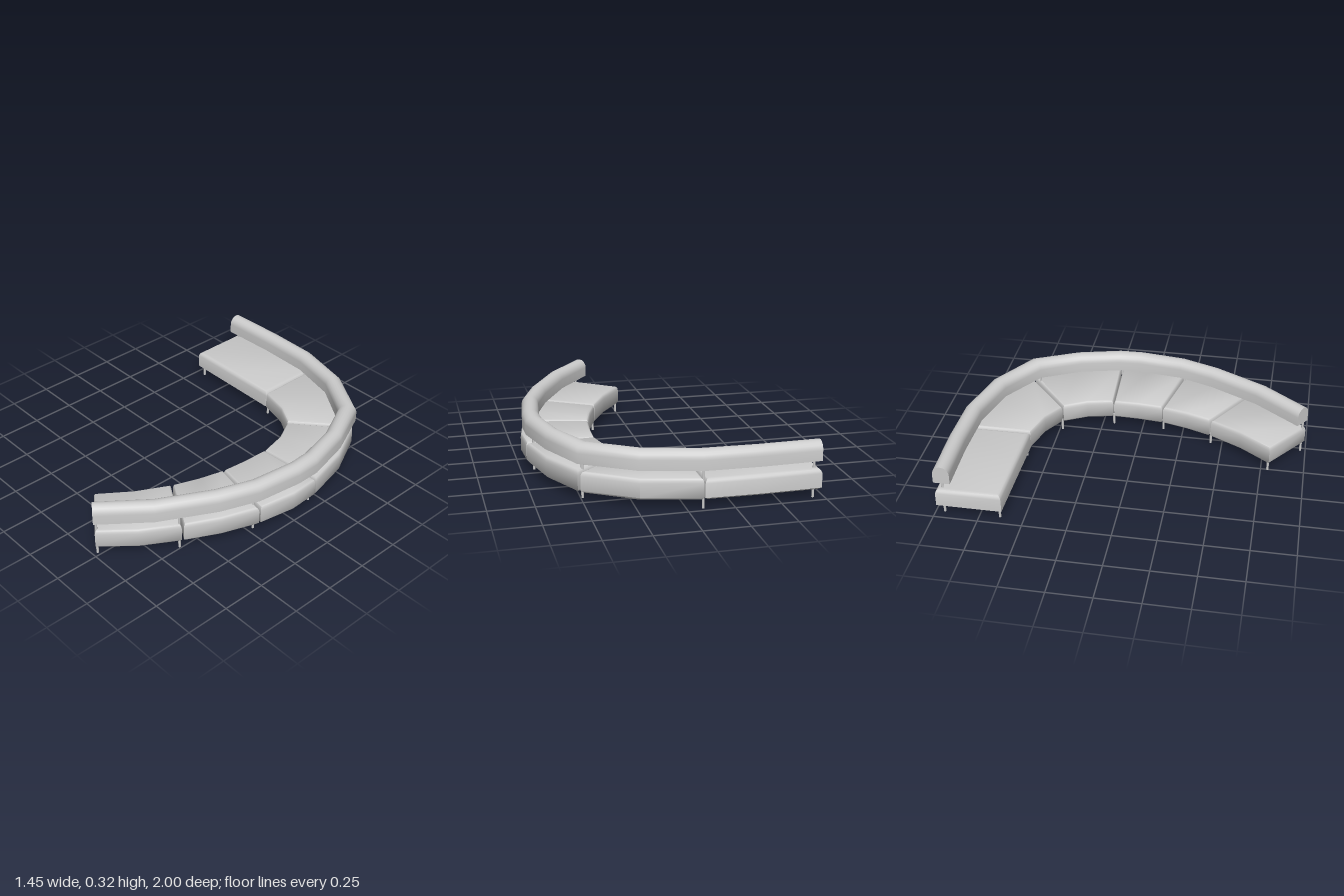
import * as THREE from 'three';
import { toCreasedNormals } from 'three/addons/utils/BufferGeometryUtils.js';

// Skin equal closed rings; caps join the two mirrored halves of a ring.
function loft(rings, capStart, capEnd) {
  const n = rings[0].length, index = [];
  const quad = (a, b, c, d) => index.push(a, b, c, a, c, d);
  for (let i = 0; i < rings.length - 1; i++) {
    for (let j = 0; j < n; j++) {
      const k = (j + 1) % n, r = i * n, s = r + n;
      quad(r + j, r + k, s + k, s + j);
    }
  }
  const last = (rings.length - 1) * n;
  for (let j = 0; j < n / 2 - 1; j++) {
    if (capStart) quad(n - 1 - j, n - 2 - j, j + 1, j);
    if (capEnd) quad(last + j, last + j + 1, last + n - 2 - j, last + n - 1 - j);
  }
  const geo = new THREE.BufferGeometry();
  geo.setAttribute('position', new THREE.Float32BufferAttribute(rings.flat(2), 3));
  geo.setIndex(index);
  return toCreasedNormals(geo, 0.75);
}

// Move a plan outline inward by a fixed distance, with mitred corners.
function inset(outline, dist) {
  const n = outline.length;
  const normal = (a, b) => new THREE.Vector2(b[1] - a[1], a[0] - b[0]).normalize();
  return outline.map((p, i) => {
    const n1 = normal(outline[(i + n - 1) % n], p);
    const n2 = normal(p, outline[(i + 1) % n]);
    const k = dist / (1 + n1.dot(n2));
    return [p[0] + (n1.x + n2.x) * k, p[1] + (n1.y + n2.y) * k];
  });
}

// Seat modules: [x, z] along the inner edge, then along the outer edge
const MODULES = [
  { inner: [[-0.725, -0.615], [-0.39, -0.61], [-0.09, -0.605]],
    outer: [[-0.725, -0.985], [-0.39, -0.993], [-0.09, -0.988]], bevel: 0.025 },
  { inner: [[-0.085, -0.605], [0.09, -0.557], [0.215, -0.482]],
    outer: [[-0.085, -0.985], [0.235, -0.91], [0.51, -0.735]] },
  { inner: [[0.22, -0.475], [0.29, -0.34], [0.325, -0.185]],
    outer: [[0.522, -0.722], [0.65, -0.47], [0.715, -0.203]] },
  { inner: [[0.325, -0.18], [0.32, -0.03], [0.305, 0.12]],
    outer: [[0.716, -0.195], [0.725, -0.02], [0.687, 0.202]] },
  { inner: [[0.304, 0.126], [0.265, 0.275], [0.212, 0.42]],
    outer: [[0.685, 0.212], [0.61, 0.42], [0.515, 0.606]] },
  { inner: [[0.208, 0.43], [0.11, 0.615], [-0.02, 0.795]],
    outer: [[0.51, 0.616], [0.39, 0.815], [0.24, 0.99]] },
];

// Backrest path: [inner x, inner z, outer x, outer z]
const BACK_PATH = [
  [-0.72, -0.895, -0.72, -0.99], [-0.39, -0.905, -0.39, -1],
  [-0.085, -0.897, -0.08, -0.993], [0.2, -0.825, 0.24, -0.915],
  [0.445, -0.665, 0.525, -0.74], [0.56, -0.43, 0.65, -0.47],
  [0.615, -0.2, 0.718, -0.2], [0.622, -0.07, 0.72, -0.06],
  [0.59, 0.19, 0.685, 0.21], [0.515, 0.395, 0.605, 0.43],
  [0.365, 0.68, 0.44, 0.74], [0.165, 0.94, 0.238, 0.995],
];

// Feet: the outer row also carries the backrest posts
const OUTER_FEET = [[-0.69, -0.95], [-0.085, -0.968], [0.49, -0.68],
  [0.675, -0.19], [0.64, 0.213], [0.488, 0.615], [0.228, 0.97]];
const INNER_FEET = [[-0.69, -0.635], [-0.092, -0.63], [0.218, -0.483],
  [0.335, -0.182], [0.322, 0.128], [0.22, 0.432], [0, 0.79]];

export function createModel() {
  const model = new THREE.Group();
  const solid = new THREE.MeshStandardMaterial({ color: 0xcccccc });
  const shell = new THREE.MeshStandardMaterial({ color: 0xcccccc, side: THREE.DoubleSide });
  const add = (name, geo, mat, parent = model) => {
    const mesh = new THREE.Mesh(geo, mat);
    mesh.name = name;
    parent.add(mesh);
    return mesh;
  };

  // Upholstered seat shells, open underneath
  const seats = new THREE.Group();
  seats.name = 'seatModules';
  model.add(seats);
  MODULES.forEach(({ inner, outer, bevel = 0.014 }, i) => {
    const outline = [...inner, ...[...outer].reverse()];
    const levels = [[0.05, 0.7], [0.062, 0], [0.14, 0], [0.153, 0.18], [0.162, 0.5], [0.166, 1]];
    const rings = levels.map(([y, k]) => inset(outline, bevel * k).map(([x, z]) => [x, y, z]));
    add('seat' + (i + 1), loft(rings, false, true), shell, seats);
  });

  // Continuous backrest roll: upright sides and a domed top
  const profile = [[1, 0.212]];
  for (let i = 0; i <= 11; i++) {
    const a = (i / 11) * Math.PI;
    profile.push([0.5 + 0.5 * Math.cos(a), 0.268 + 0.05 * Math.sin(a)]);
  }
  profile.push([0, 0.212]);
  const rings = BACK_PATH.map(([ix, iz, ox, oz]) =>
    profile.map(([t, y]) => [ix + (ox - ix) * t, y, iz + (oz - iz) * t]));
  add('backrest', loft(rings, true, true), solid);

  // Slim round feet and backrest posts
  const rod = (name, [x, z], y0, y1) => {
    const geo = new THREE.CylinderGeometry(0.007, 0.007, y1 - y0, 12);
    add(name, geo, solid).position.set(x, (y0 + y1) / 2, z);
  };
  INNER_FEET.forEach((p) => rod('innerFoot', p, 0, 0.07));
  OUTER_FEET.forEach((p) => {
    rod('outerFoot', p, 0, 0.07);
    rod('backrestPost', p, 0.15, 0.215);
  });
  return model;
}
